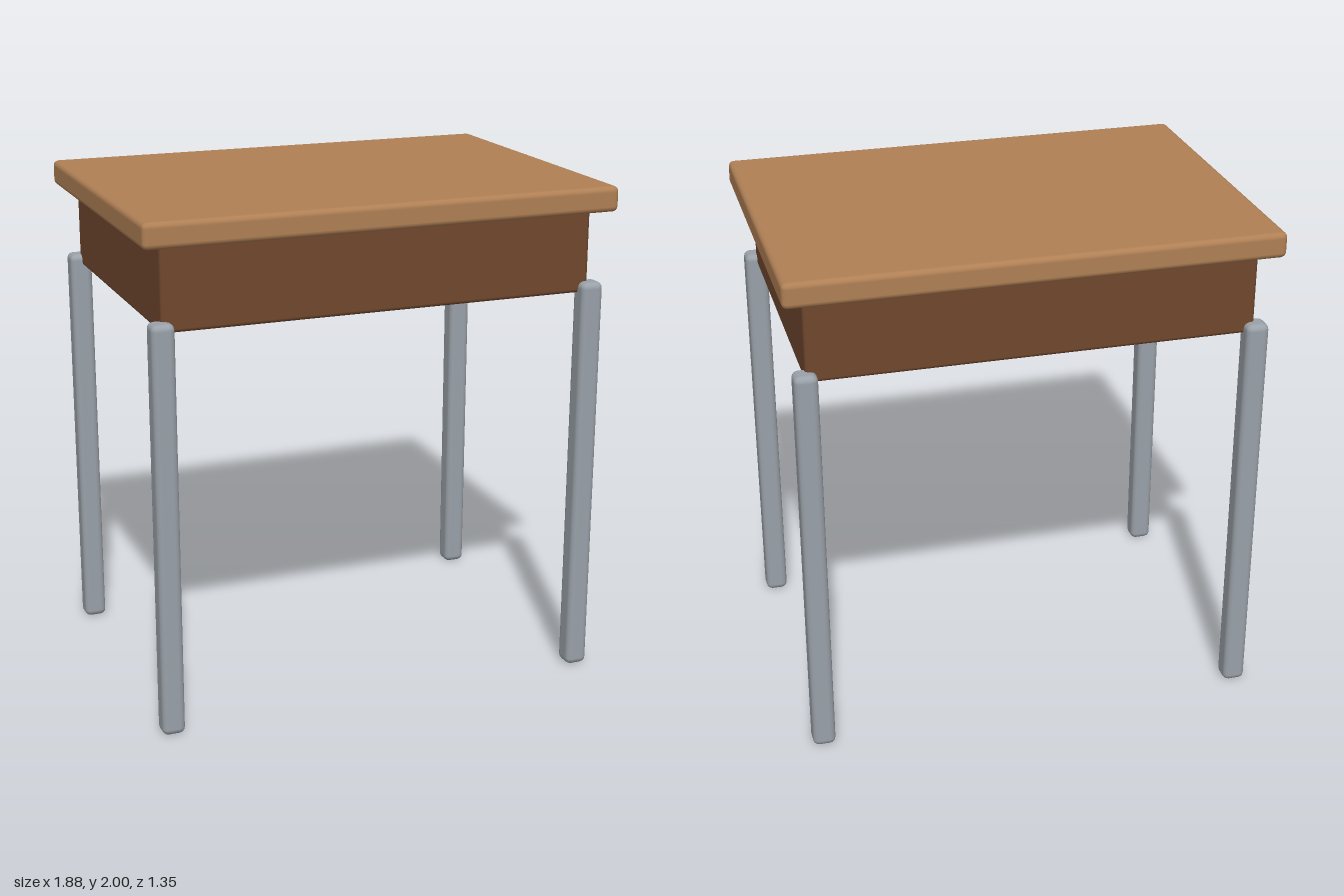
import * as THREE from 'three';
import { RoundedBoxGeometry } from 'three/addons/geometries/RoundedBoxGeometry.js';

const paint = (color) => new THREE.MeshStandardMaterial({ color });

// Softly bevelled block standing on height y0
function block(name, [w, h, d], radius, material, x, y0, z) {
  const mesh = new THREE.Mesh(new RoundedBoxGeometry(w, h, d, 2, radius), material);
  mesh.name = name;
  mesh.position.set(x, y0 + h / 2, z);
  return mesh;
}

export function createModel() {
  const desk = new THREE.Group();
  desk.name = 'desk';
  const lightWood = paint(0xb08055);
  const darkWood = paint(0x70472d);
  const metal = paint(0x9aa1a9);

  // Overhanging top and the storage box beneath it
  desk.add(block('deskTop', [1.885, 0.1, 1.345], 0.022, lightWood, 0, 1.9, 0));
  desk.add(block('storageBox', [1.725, 0.325, 1.19], 0.015, darkWood, 0, 1.575, 0));

  // Four legs set on the corners of the box
  for (const [side, x] of [['Left', 0.865], ['Right', -0.865]]) {
    for (const [end, z] of [['front', 0.596], ['back', -0.596]]) {
      desk.add(block(`${end}${side}Leg`, [0.09, 1.62, 0.09], 0.025, metal, x, 0, z));
    }
  }
  return desk;
}
